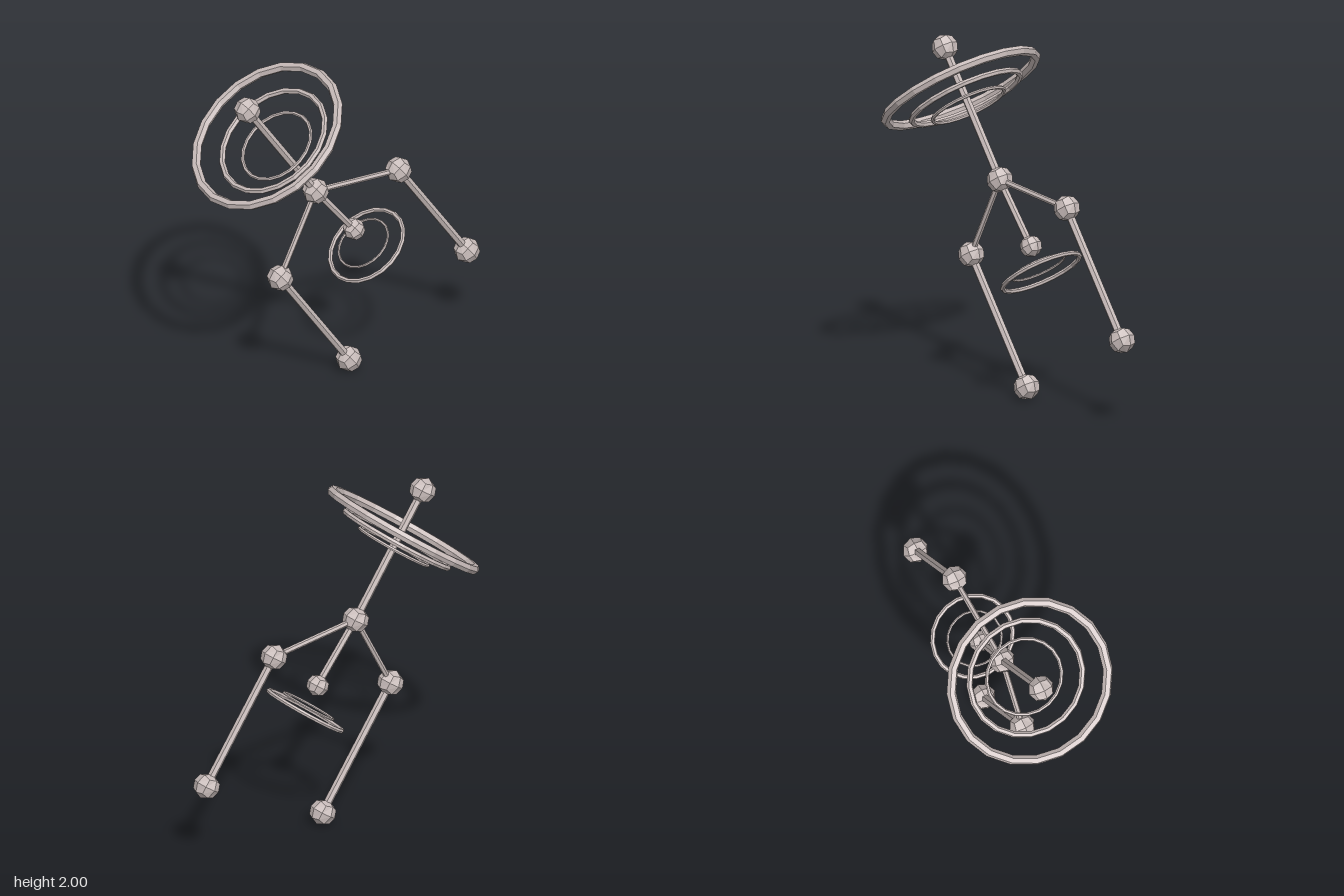
import * as THREE from 'three';

const TILT = THREE.MathUtils.degToRad(35);
const RING_TILT = THREE.MathUtils.degToRad(37);

export function createModel() {
  const model = new THREE.Group();
  model.name = 'jointedRodsAndRings';
  const metal = new THREE.MeshStandardMaterial({ color: 0xc8bcba });
  metal.name = 'warmGrey';
  metal.flatShading = true;

  const add = (geometry, name) => {
    const mesh = new THREE.Mesh(geometry, metal);
    mesh.name = name;
    model.add(mesh);
    return mesh;
  };

  // Ball joint: a cube split in 2 x 2 x 2 and pushed out to a sphere
  function ball(name, p, radius) {
    const geo = new THREE.BoxGeometry(2, 2, 2, 2, 2, 2);
    const pos = geo.attributes.position;
    const v = new THREE.Vector3();
    for (let i = 0; i < pos.count; i++) {
      v.fromBufferAttribute(pos, i).setLength(radius);
      pos.setXYZ(i, v.x, v.y, v.z);
    }
    geo.computeVertexNormals();
    const mesh = add(geo, name);
    mesh.position.set(p[0], p[1], 0);
    mesh.rotation.z = TILT;
  }

  // Six-sided rod between two joints
  function rod(name, a, b, radius) {
    const dx = b[0] - a[0], dy = b[1] - a[1];
    const mesh = add(new THREE.CylinderGeometry(radius, radius, Math.hypot(dx, dy), 6), name);
    mesh.position.set((a[0] + b[0]) / 2, (a[1] + b[1]) / 2, 0);
    mesh.rotation.z = Math.atan2(-dx, dy);
  }

  // Tilted ring given by its outer radius
  function ring(name, x, y, outer, tube) {
    const geo = new THREE.TorusGeometry(outer - tube, tube, 6, 20).rotateX(Math.PI / 2);
    const mesh = add(geo, name);
    mesh.position.set(x, y, 0);
    mesh.rotation.z = RING_TILT;
  }

  // Joints
  const joints = {
    top: [-0.67, 1.913],
    hub: [-0.2, 1.237],
    tail: [0.066, 0.902],
    leftKnee: [0.373, 1.184],
    leftFoot: [0.844, 0.51],
    rightKnee: [-0.444, 0.754],
    rightFoot: [0.03, 0.077],
  };
  for (const [name, p] of Object.entries(joints)) {
    ball(name + 'Ball', p, name === 'tail' ? 0.064 : 0.076);
  }

  // Rods
  rod('upperRod', joints.top, joints.hub, 0.024);
  rod('tailRod', joints.hub, joints.tail, 0.021);
  for (const side of ['left', 'right']) {
    rod(side + 'Arm', joints.hub, joints[side + 'Knee'], 0.017);
    rod(side + 'Leg', joints[side + 'Knee'], joints[side + 'Foot'], 0.024);
  }

  // Upper and lower rings
  ring('upperLargeRing', -0.534, 1.702, 0.488, 0.028);
  ring('upperMiddleRing', -0.49, 1.656, 0.35, 0.018);
  ring('upperSmallRing', -0.468, 1.616, 0.231, 0.011);
  ring('lowerLargeRing', 0.153, 0.768, 0.25, 0.014);
  ring('lowerSmallRing', 0.13, 0.79, 0.167, 0.008);

  return model;
}
